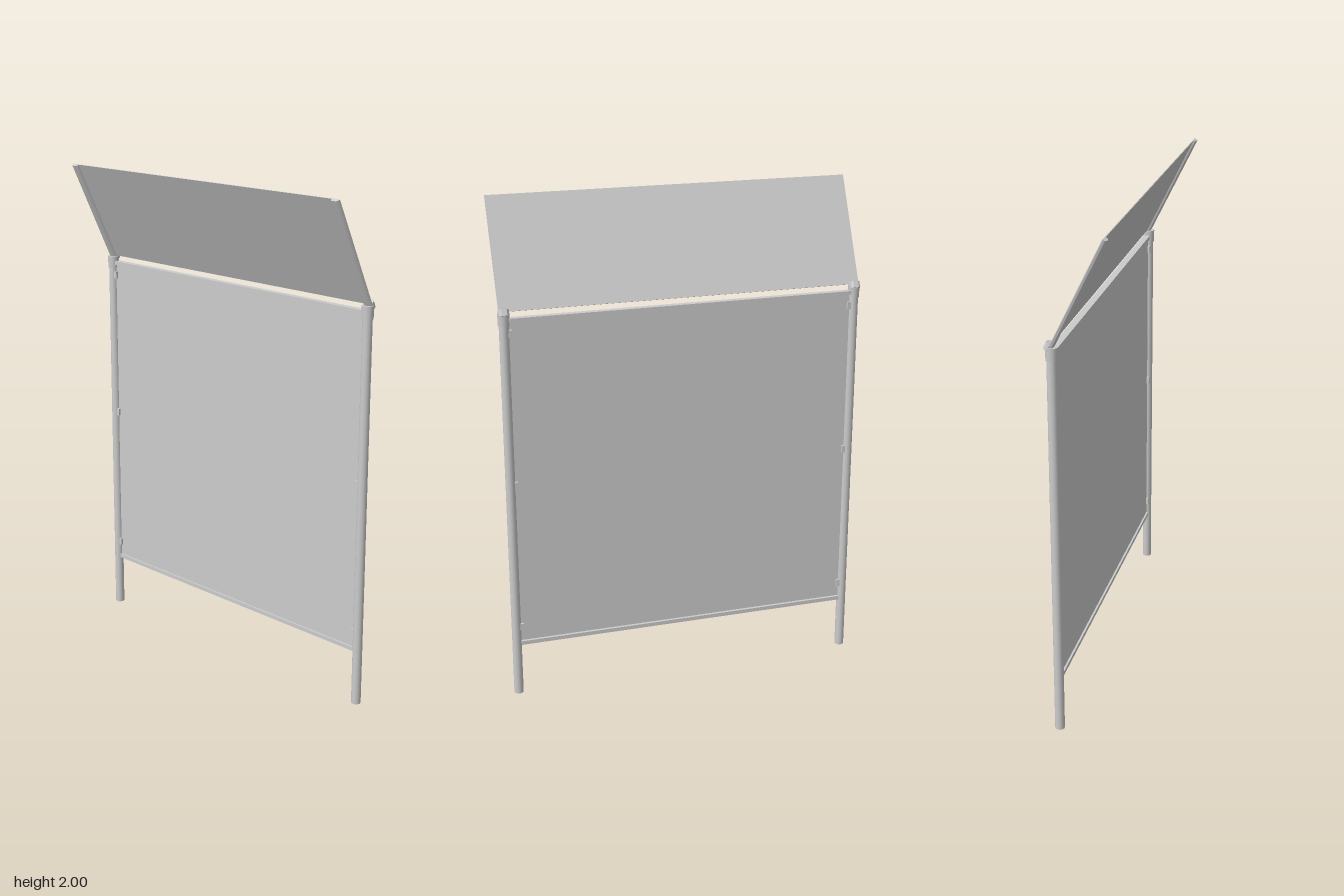
import * as THREE from 'three';

const mat = new THREE.MeshStandardMaterial({ color: 0xcccccc });
const thinMat = new THREE.MeshStandardMaterial({ color: 0xcccccc, side: THREE.DoubleSide });
const Z = -0.09; // plane of the posts

function add(parent, name, geometry, x, y, z, material = mat) {
  const mesh = new THREE.Mesh(geometry, material);
  mesh.name = name;
  mesh.position.set(x, y, z);
  parent.add(mesh);
  return mesh;
}

// Bar along y with a half-rounded section bulging towards +z
function halfBar(width, depth, length) {
  const w = width / 2;
  const shape = new THREE.Shape([
    [-w, 0], [w, 0], [w * 0.85, -depth * 0.6], [w * 0.5, -depth],
    [-w * 0.5, -depth], [-w * 0.85, -depth * 0.6],
  ].reverse().map(([x, y]) => new THREE.Vector2(x, y)));
  const geometry = new THREE.ExtrudeGeometry(shape, { depth: length, bevelEnabled: false });
  return geometry.rotateX(-Math.PI / 2);
}

export function createModel() {
  const model = new THREE.Group();
  model.name = 'screenWithCanopy';

  // Infill sheet and its edge rails
  add(model, 'infillPanel', new THREE.BoxGeometry(1.376, 1.34, 0.006), 0, 0.897, Z - 0.002);
  for (const [name, y] of [['topRail', 1.567], ['bottomRail', 0.226]]) {
    add(model, name, new THREE.BoxGeometry(1.376, 0.016, 0.026), 0, y, Z - 0.004);
  }

  // Canopy, leaning forward from the post tops
  const canopy = new THREE.Group();
  canopy.name = 'canopy';
  canopy.position.set(0, 1.6, -0.095);
  canopy.rotation.x = 0.4536;
  model.add(canopy);
  add(canopy, 'canopyPanel', new THREE.BoxGeometry(1.444, 0.445, 0.003), 0, 0.2225, 0.0015, thinMat);

  for (const side of [-1, 1]) {
    const x = side * 0.705;

    // Post with a flared socket on top
    add(model, 'post', new THREE.CylinderGeometry(0.019, 0.019, 1.59, 20), x, 0.795, Z);
    add(model, 'socket', new THREE.CylinderGeometry(0.0235, 0.022, 0.05, 20), x, 1.57, Z);

    // Canopy arm in front of the sheet and short clamp behind it
    add(canopy, 'canopyArm', halfBar(0.038, 0.013, 0.46), x, -0.015, 0.002);
    const clamp = add(canopy, 'canopyClamp', halfBar(0.042, 0.018, 0.026), x, -0.018, 0);
    clamp.rotation.y = Math.PI;

    // Small clips holding the sheet to the post
    for (const y of [0.295, 0.905, 1.515]) {
      add(model, 'clip', new THREE.BoxGeometry(0.014, 0.03, 0.026), side * 0.683, y, Z - 0.002);
    }
  }
  return model;
}
